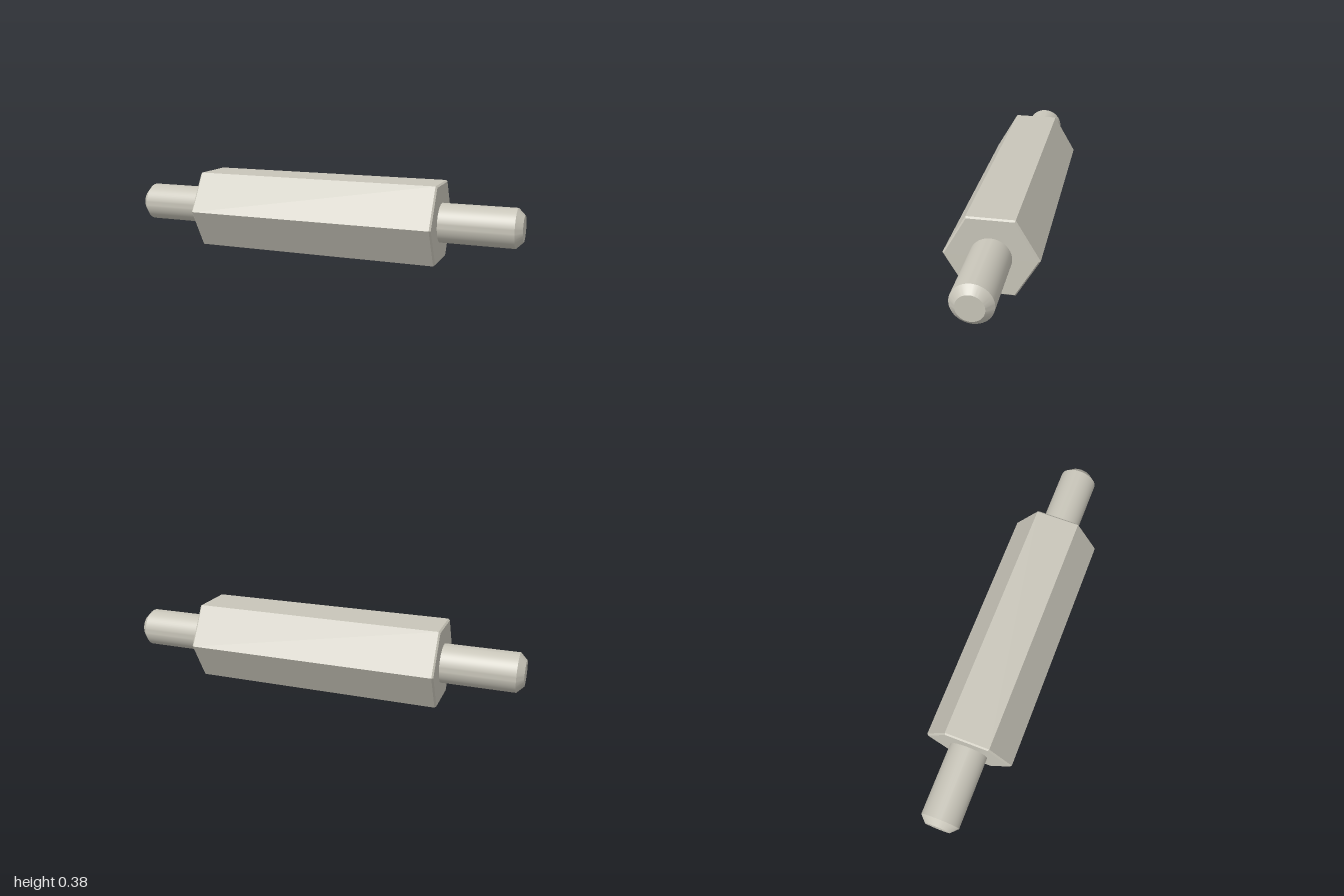
import * as THREE from 'three';
import { toCreasedNormals } from 'three/addons/utils/BufferGeometryUtils.js';

const HEX_RADIUS = 0.219;   // corner radius
const HEX_HALF = 0.623;     // half length of the hexagonal body
const STUD_RADIUS = 0.095;
const STUD_END = 1.009;     // axis distance to the stud tip
const TILT = THREE.MathUtils.degToRad(-12);

// Turns a [radius, axial] profile about the x axis, keeping edges sharp
function turned(profile, sides) {
  const points = profile.map(([r, a]) => new THREE.Vector2(r, a));
  const geometry = toCreasedNormals(new THREE.LatheGeometry(points, sides), 0.5);
  return geometry.rotateZ(-Math.PI / 2);
}

export function createModel() {
  const steel = new THREE.MeshStandardMaterial({ color: 0xc8c5b9 });
  steel.name = 'pale steel';

  const model = new THREE.Group();
  model.name = 'hexStandoff';

  // Hexagonal body with a fine chamfer on both end faces
  const c = 0.008;
  const body = new THREE.Mesh(turned([
    [0, -HEX_HALF], [HEX_RADIUS - c, -HEX_HALF], [HEX_RADIUS, -HEX_HALF + c],
    [HEX_RADIUS, HEX_HALF - c], [HEX_RADIUS - c, HEX_HALF], [0, HEX_HALF],
  ], 6), steel);
  body.name = 'hexBody';
  model.add(body);

  // Round studs with chamfered tips, one at each end
  const studGeometry = turned([
    [STUD_RADIUS, HEX_HALF - 0.01], [STUD_RADIUS, STUD_END - 0.0325],
    [0.0625, STUD_END], [0, STUD_END],
  ], 64);
  for (const [name, turn] of [['leftStud', 0], ['rightStud', Math.PI]]) {
    const stud = new THREE.Mesh(studGeometry, steel);
    stud.name = name;
    stud.rotation.y = turn;
    model.add(stud);
  }

  // Lies on a flat, turned slightly about the vertical
  model.rotation.y = TILT;
  model.position.y = HEX_RADIUS * Math.cos(Math.PI / 6);
  return model;
}
